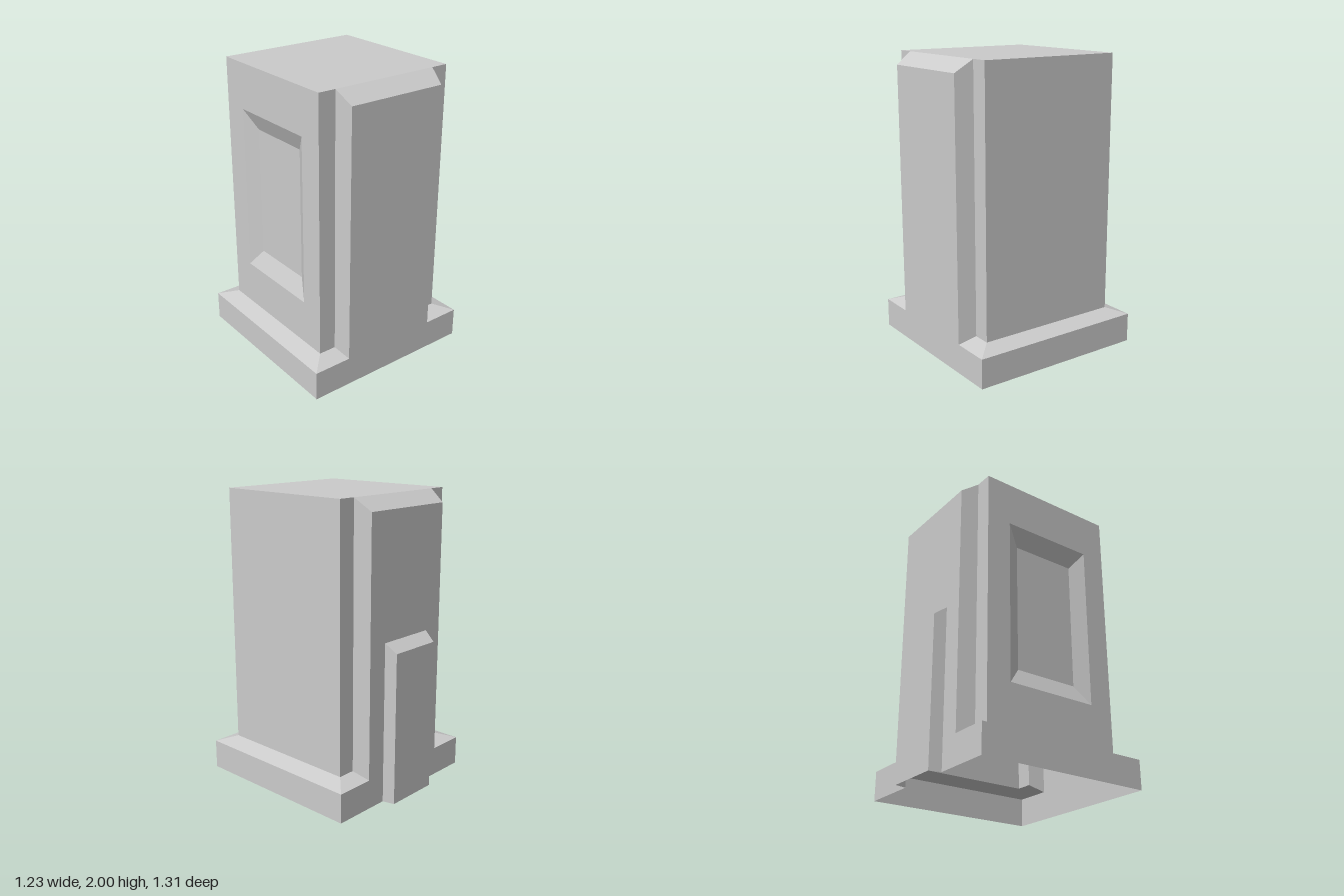
import * as THREE from 'three';

const material = new THREE.MeshStandardMaterial({ color: 0xcccccc, flatShading: true, side: THREE.DoubleSide });

// Main depths (z) and half widths (x)
const FRONT = 0.655, BACK = -0.575, DOOR = -0.655;
const BODY_F = 0.54, BODY_B = -0.46, BODY_X = 0.5, BASE_X = 0.615;
const TOP = 2, SKIRT_IN = 0.24, SKIRT_OUT = 0.2;
const PANEL_IN = 0.38, PANEL_OUT = 0.35, PANEL_TOP = 1.92;

// Strip of flat quads between two point paths of equal length
function loft(name, a, b, closed = false) {
  const pos = [];
  const n = closed ? a.length : a.length - 1;
  for (let i = 0; i < n; i++) {
    const j = (i + 1) % a.length;
    pos.push(...a[i], ...a[j], ...b[j], ...a[i], ...b[j], ...b[i]);
  }
  const g = new THREE.BufferGeometry();
  g.setAttribute('position', new THREE.Float32BufferAttribute(pos, 3));
  g.computeVertexNormals();
  const mesh = new THREE.Mesh(g, material);
  mesh.name = name;
  return mesh;
}

// Flat face from an outline, with an optional hole
function flat(name, outline, hole) {
  const toV = ([x, y]) => new THREE.Vector2(x, y);
  const shape = new THREE.Shape(outline.map(toV));
  if (hole) shape.holes.push(new THREE.Path(hole.map(toV)));
  const mesh = new THREE.Mesh(new THREE.ShapeGeometry(shape), material);
  mesh.name = name;
  return mesh;
}

const rect = (x0, y0, x1, y1) => [[x0, y0], [x1, y0], [x1, y1], [x0, y1]];

// Up, over and down again: the three raised edges of a panel
const arch = (w, y0, y1, z) => [[-w, y0, z], [-w, y1, z], [w, y1, z], [w, y0, z]];

export function createModel() {
  const model = new THREE.Group();
  model.name = 'tower';

  // Front and back: base wall and raised panel are one flush face
  const above = [[BASE_X, 0], [BASE_X, SKIRT_OUT], [PANEL_OUT, SKIRT_OUT], [PANEL_OUT, PANEL_TOP],
    [-PANEL_OUT, PANEL_TOP], [-PANEL_OUT, SKIRT_OUT], [-BASE_X, SKIRT_OUT], [-BASE_X, 0]];
  const front = flat('frontPanel', above);
  front.position.z = FRONT;
  const doorway = [[-0.21, 0], [-0.21, 1.09], [0.21, 1.09], [0.21, 0]];
  const back = flat('backPanel', [...above, ...doorway]);
  back.rotation.y = Math.PI;
  back.position.z = BACK;
  model.add(front, back);

  // Sloped panel edges
  model.add(
    loft('frontPanelBevel', arch(PANEL_OUT, SKIRT_OUT, PANEL_TOP, FRONT), arch(PANEL_IN, SKIRT_IN, TOP, BODY_F)),
    loft('backPanelBevel', arch(PANEL_OUT, SKIRT_OUT, PANEL_TOP, BACK).reverse(),
      arch(PANEL_IN, SKIRT_IN, TOP, BODY_B).reverse()));

  // Raised block low on the back
  const doorFace = flat('backBlockFace', rect(-0.19, 0, 0.19, 1.03));
  doorFace.rotation.y = Math.PI;
  doorFace.position.z = DOOR;
  model.add(doorFace,
    loft('backBlockBevel', arch(0.19, 0, 1.03, DOOR).reverse(), arch(0.21, 0, 1.09, BACK).reverse()));

  // Mirrored pieces: corner strips, skirt slope and base side wall
  for (const s of [1, -1]) {
    const side = s > 0 ? 'left' : 'right';
    const path = (pts, y) => {
      const p = pts.map(([x, z]) => [s * x, y, z]);
      return s > 0 ? p : p.reverse();
    };
    const inner = [[PANEL_IN, BODY_F], [BODY_X, BODY_F], [BODY_X, BODY_B], [PANEL_IN, BODY_B]];
    const outer = [[PANEL_OUT, FRONT], [BASE_X, FRONT], [BASE_X, BACK], [PANEL_OUT, BACK]];
    const strips = [['Front', inner.slice(0, 2)], ['Back', inner.slice(2)]];
    for (const [end, pts] of strips)
      model.add(loft(side + end + 'BodyStrip', path(pts, SKIRT_IN), path(pts, TOP)));
    model.add(
      loft(side + 'SkirtSlope', path(outer, SKIRT_OUT), path(inner, SKIRT_IN)),
      loft(side + 'BaseWall', path(outer.slice(1, 3), 0), path(outer.slice(1, 3), SKIRT_OUT)));
  }

  // Plain body side at +x
  const plain = flat('leftBodySide', rect(-BODY_F, SKIRT_IN, -BODY_B, TOP));
  plain.rotation.y = Math.PI / 2;
  plain.position.x = BODY_X;

  // Body side at -x with a recessed panel
  const opening = rect(-0.285, 0.545, 0.37, 1.69);
  const inset = rect(-0.185, 0.67, 0.27, 1.565);
  const floorX = -BODY_X + 0.055;
  const recessed = flat('rightBodySide', rect(BODY_B, SKIRT_IN, BODY_F, TOP), opening);
  recessed.rotation.y = -Math.PI / 2;
  recessed.position.x = -BODY_X;
  const floor = flat('recessFloor', inset);
  floor.rotation.y = -Math.PI / 2;
  floor.position.x = floorX;
  const at = (pts, x) => pts.map(([z, y]) => [x, y, z]);
  model.add(plain, recessed, floor, loft('recessBevel', at(opening, -BODY_X), at(inset, floorX), true));

  // Flat top
  const roof = flat('top', rect(-BODY_X, -BODY_F, BODY_X, -BODY_B));
  roof.rotation.x = -Math.PI / 2;
  roof.position.y = TOP;
  model.add(roof);

  return model;
}
